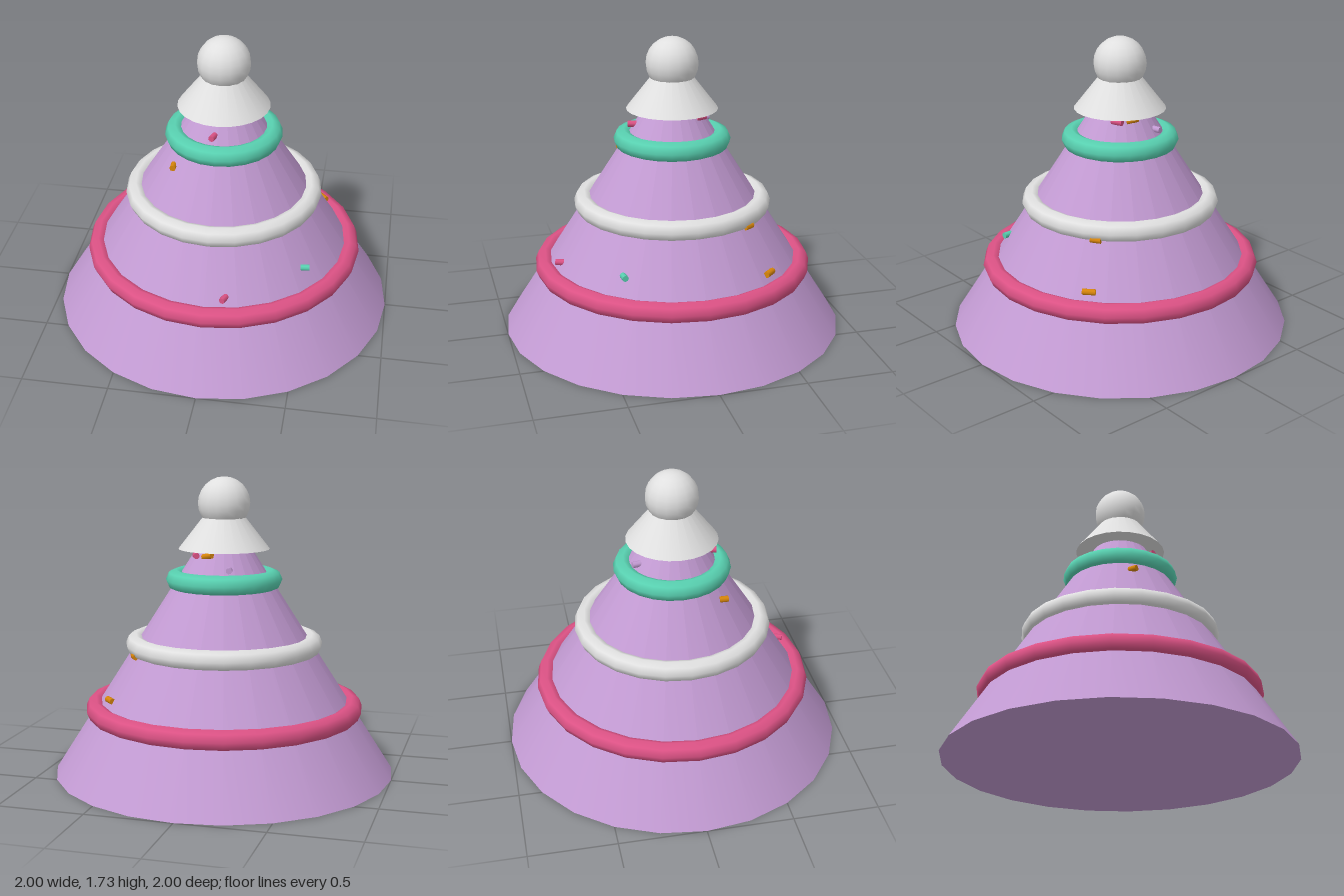
import * as THREE from 'three';

const mat = (name, color) => {
  const m = new THREE.MeshStandardMaterial({ color });
  m.name = name;
  return m;
};

export function createModel() {
  const model = new THREE.Group();
  const lilac = mat('lilac', 0xc39bd3);
  const white = mat('white', 0xe0e0e0);
  const pink = mat('pink', 0xdc5285);
  const mint = mat('mint', 0x58d0b0);
  const orange = mat('orange', 0xd8860b);

  const add = (name, geometry, material, x, y, z) => {
    const mesh = new THREE.Mesh(geometry, material);
    mesh.name = name;
    mesh.position.set(x, y, z);
    model.add(mesh);
    return mesh;
  };

  // Main cone
  const height = 1.57;
  add('body', new THREE.ConeGeometry(1, height, 24), lilac, 0, height / 2, 0);

  // Rings hugging the cone
  for (const [name, material, y, radius] of [
    ['lowerRing', pink, 0.383, 0.758],
    ['middleRing', white, 0.762, 0.518],
    ['upperRing', mint, 1.138, 0.28],
  ]) {
    add(name, new THREE.TorusGeometry(radius, 0.059, 8, 24), material, 0, y, 0).rotation.x = Math.PI / 2;
  }

  // Cap and ball on top
  add('cap', new THREE.ConeGeometry(0.265, 0.34, 24), white, 0, 1.487, 0);
  add('ball', new THREE.SphereGeometry(0.152, 16, 12), white, 0, 1.58, 0);

  // Sprinkles: material, position, axis, length
  const up = new THREE.Vector3(0, 1, 0);
  for (const [material, p, axis, length] of [
    [pink, [-0.025, 1.23, 0.23], [-0.3, 0, 1], 0.05],
    [orange, [-0.25, 1.03, 0.25], [0, 0, 1], 0.05],
    [pink, [0.11, 0.475, 0.695], [-0.4, 0, 1], 0.05],
    [mint, [0.53, 0.53, 0.41], [1, 0, -0.1], 0.05],
    [orange, [0.56, 0.475, -0.42], [0.7, 0, 0.75], 0.075],
    [pink, [0.13, 1.287, -0.135], [-0.4, 0, -1], 0.065],
    [orange, [0.05, 1.29, -0.17], [-0.8, 0.2, -0.4], 0.07],
    [lilac, [-0.09, 1.22, -0.22], [-0.2, 0, -1], 0.05],
    [orange, [0.44, 0.72, -0.33], [0.5, 0, 0.8], 0.06],
  ]) {
    const s = add('sprinkle', new THREE.CylinderGeometry(0.018, 0.018, length, 8), material, ...p);
    s.quaternion.setFromUnitVectors(up, new THREE.Vector3(...axis).normalize());
  }
  return model;
}
